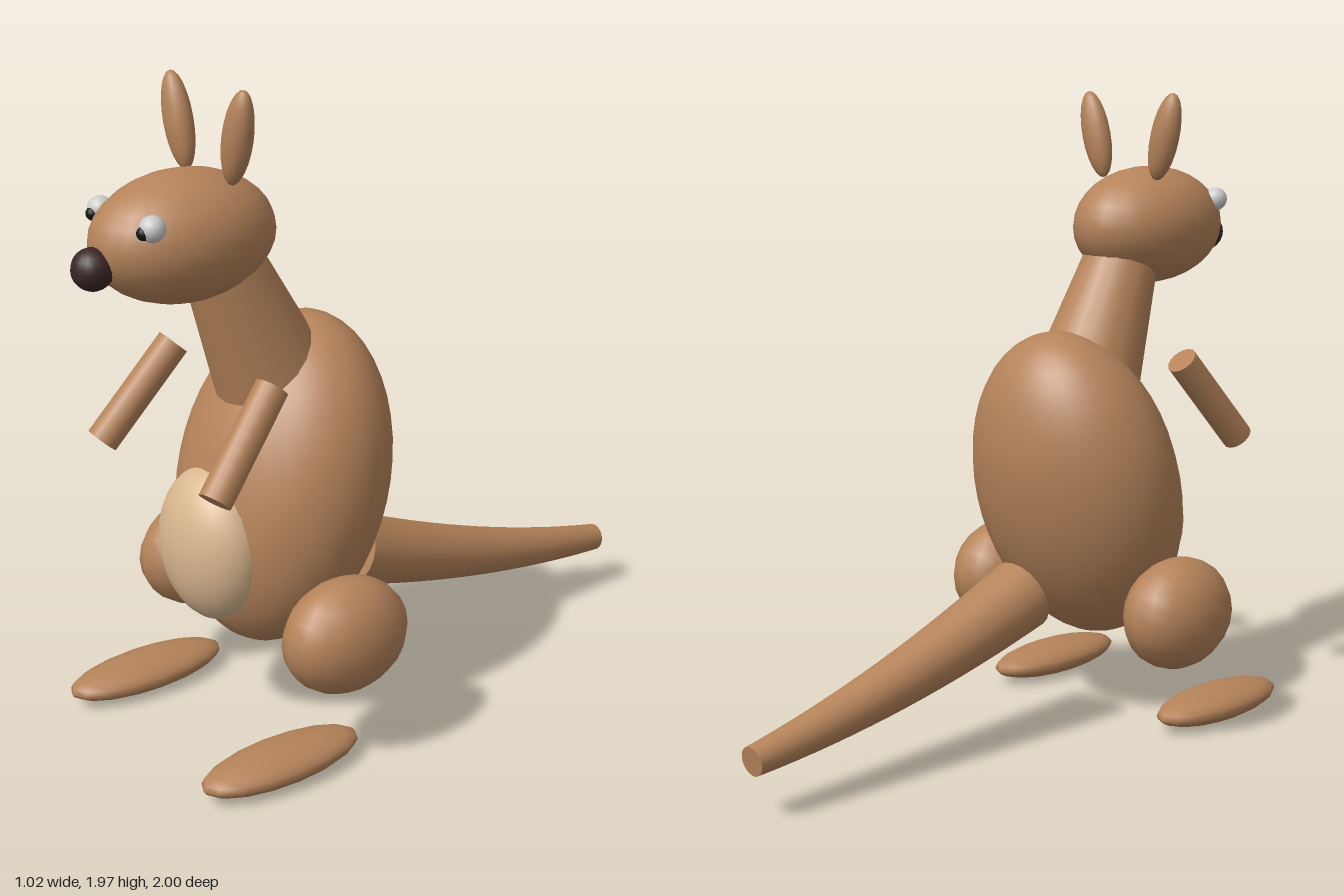
import * as THREE from 'three';

const material = (color) => new THREE.MeshStandardMaterial({ color });

export function createModel() {
  const model = new THREE.Group();
  model.name = 'kangaroo';
  const fur = material(0xb5835a);
  const cream = material(0xd9b78f);
  const noseDark = material(0x3a2626);
  const white = material(0xf2f2f2);
  const black = material(0x151515);

  const add = (name, geometry, mat) => {
    const mesh = new THREE.Mesh(geometry, mat);
    mesh.name = name;
    model.add(mesh);
    return mesh;
  };

  // Ellipsoid from centre, radii and rotation
  const ellipsoid = (name, center, radii, mat, rotation = [0, 0, 0], segments = [24, 16]) => {
    const mesh = add(name, new THREE.SphereGeometry(1, ...segments), mat);
    mesh.position.set(...center);
    mesh.scale.set(...radii);
    mesh.rotation.set(...rotation);
    return mesh;
  };

  // Tapered cylinder between two points
  const limb = (name, from, to, rFrom, rTo, mat, sides = 16) => {
    const a = new THREE.Vector3(...from);
    const b = new THREE.Vector3(...to);
    const dir = b.clone().sub(a);
    const mesh = add(name, new THREE.CylinderGeometry(rTo, rFrom, dir.length(), sides), mat);
    mesh.position.copy(a).add(b).multiplyScalar(0.5);
    mesh.quaternion.setFromUnitVectors(new THREE.Vector3(0, 1, 0), dir.normalize());
    return mesh;
  };

  // Torso, belly, neck and head
  ellipsoid('body', [0, 0.755, 0.325], [0.35, 0.505, 0.29], fur, [-0.27, 0, 0], [32, 24]);
  ellipsoid('belly', [0, 0.61, 0.58], [0.195, 0.235, 0.14], cream);
  limb('neck', [0, 1.1, 0.37], [0, 1.47, 0.532], 0.168, 0.115, fur, 20);
  ellipsoid('head', [0, 1.553, 0.65], [0.195, 0.185, 0.284], fur);
  ellipsoid('nose', [0, 1.51, 0.94], [0.06, 0.06, 0.06], noseDark, [0, 0, 0], [16, 12]);

  // Paired parts: left is +x
  for (const [side, s] of [['left', 1], ['right', -1]]) {
    ellipsoid(side + 'Eye', [s * 0.13, 1.63, 0.83], [0.037, 0.037, 0.037], white, [0, 0, 0], [16, 12]);
    ellipsoid(side + 'Pupil', [s * 0.127, 1.622, 0.856], [0.02, 0.02, 0.02], black, [0, 0, 0], [12, 8]);
    ellipsoid(side + 'Ear', [s * 0.142, 1.836, 0.56], [0.049, 0.139, 0.04], fur, [0, 0, -s * 0.25], [16, 12]);
    limb(side + 'Arm', [s * 0.245, 1.152, 0.535], [s * 0.289, 0.885, 0.765], 0.049, 0.049, fur);
    ellipsoid(side + 'Thigh', [s * 0.372, 0.396, 0.382], [0.138, 0.173, 0.205], fur, [0, 0, 0], [16, 12]);
    ellipsoid(side + 'Foot', [s * 0.355, 0.055, 0.605], [0.105, 0.052, 0.27], fur, [0, 0, 0], [16, 12]);
  }

  // Tail: a capped, tapered cylinder bent along a curve
  const path = new THREE.QuadraticBezierCurve3(
    new THREE.Vector3(0, 0.444, 0.07),
    new THREE.Vector3(0, 0.245, -0.47),
    new THREE.Vector3(0, 0.177, -0.993)
  );
  const tail = new THREE.CylinderGeometry(0.044, 0.114, 1, 20, 16);
  const pos = tail.attributes.position;
  const nor = tail.attributes.normal;
  for (let i = 0; i < pos.count; i++) {
    const t = THREE.MathUtils.clamp(pos.getY(i) + 0.5, 0, 1);
    const p = path.getPoint(t);
    const d = path.getTangent(t);
    const up = new THREE.Vector3(0, -d.z, d.y);
    const bend = (x, y, z) => new THREE.Vector3(x, 0, 0).addScaledVector(up, z).addScaledVector(d, y);
    const n = bend(nor.getX(i), nor.getY(i), nor.getZ(i));
    const v = bend(pos.getX(i), 0, pos.getZ(i)).add(p);
    pos.setXYZ(i, v.x, v.y, v.z);
    nor.setXYZ(i, n.x, n.y, n.z);
  }
  // The bend keeps handedness only if x, d, up is right-handed
  const d0 = path.getTangent(0);
  const up0 = new THREE.Vector3(0, -d0.z, d0.y);
  const handed = new THREE.Vector3(1, 0, 0).cross(d0).dot(up0);
  if (handed < 0) tail.setIndex(Array.from(tail.index.array).reverse());
  add('tail', tail, fur);

  return model;
}
